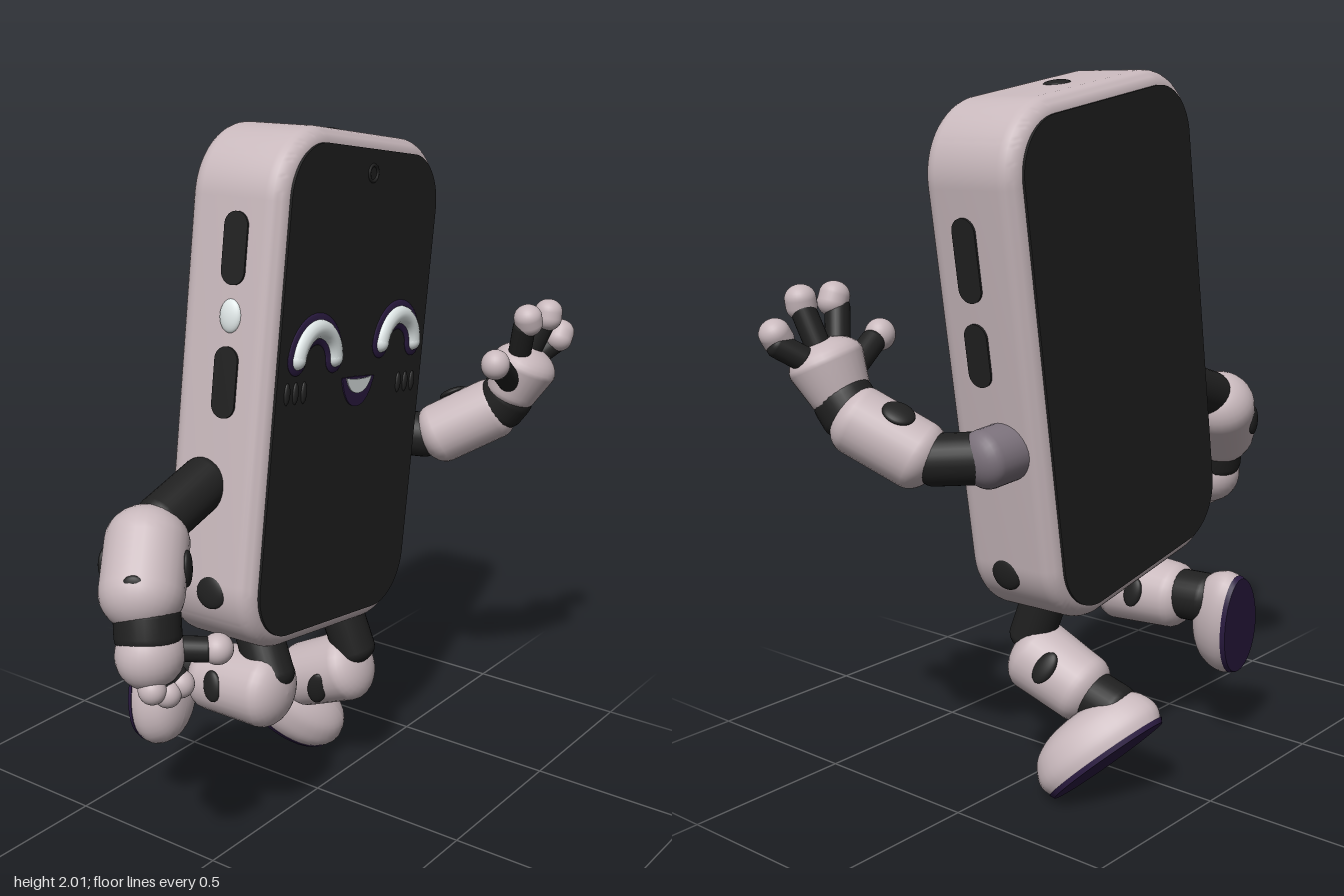
import * as THREE from 'three';
import { toCreasedNormals } from 'three/addons/utils/BufferGeometryUtils.js';

const flat = (name, color) => Object.assign(new THREE.MeshStandardMaterial({ color }), { name });
const V = (p) => new THREE.Vector3(...p);
const UP = new THREE.Vector3(0, 1, 0);

export function createModel() {
  const shell = flat('pale mauve shell', 0xc8b8bc);
  const dark = flat('charcoal', 0x202020);
  const purple = flat('deep purple', 0x2b1b42);
  const white = flat('glow white', 0xeaf2f2);
  const gray = flat('dusky mauve', 0x7b717b);

  const model = new THREE.Group();
  model.name = 'walkingPhone';

  function add(parent, name, geo, mat, pos = [0, 0, 0]) {
    const m = new THREE.Mesh(geo, mat);
    m.name = name;
    m.position.set(...pos);
    parent.add(m);
    return m;
  }

  function ball(parent, name, mat, pos, radii) {
    const m = add(parent, name, new THREE.SphereGeometry(1, 28, 18), mat, pos);
    m.scale.set(...radii);
    return m;
  }

  // Rounded limb from a to b; cap sets how far the ends bulge
  function limb(parent, name, mat, a, b, ra, rb = ra, cap = 0.7) {
    const A = V(a), B = V(b), len = A.distanceTo(B), pts = [];
    for (let i = 0; i <= 8; i++) {
      const t = (i / 8) * Math.PI / 2;
      pts.push(new THREE.Vector2(ra * Math.sin(t), -ra * cap * Math.cos(t)));
    }
    for (let i = 0; i <= 8; i++) {
      const t = (i / 8) * Math.PI / 2;
      pts.push(new THREE.Vector2(rb * Math.cos(t), len + rb * cap * Math.sin(t)));
    }
    const m = add(parent, name, new THREE.LatheGeometry(pts, 28), mat, a);
    m.quaternion.setFromUnitVectors(UP, B.sub(A).normalize());
    return m;
  }

  // Flattened oval inset lying on a limb
  function pad(parent, center, normal, dist, w, h) {
    const n = V(normal).normalize();
    const m = ball(parent, 'limbInset', dark, V(center).addScaledVector(n, dist).toArray(), [w, h, 0.014]);
    m.quaternion.setFromUnitVectors(new THREE.Vector3(0, 0, 1), n);
  }

  function roundRect(hw, hh, r) {
    const s = new THREE.Shape();
    s.absarc(hw - r, hh - r, r, 0, Math.PI / 2);
    s.absarc(r - hw, hh - r, r, Math.PI / 2, Math.PI);
    s.absarc(r - hw, r - hh, r, Math.PI, Math.PI * 1.5);
    s.absarc(hw - r, r - hh, r, Math.PI * 1.5, Math.PI * 2);
    return s;
  }

  const plate = (hw, hh, r, depth = 0.009) => toCreasedNormals(
    new THREE.ExtrudeGeometry(roundRect(hw, hh, r), { depth, bevelEnabled: false, curveSegments: 14 }), 0.7);

  // Body, leaning and slightly turned
  const body = new THREE.Group();
  body.name = 'body';
  body.position.set(0.04, 1.27, -0.07);
  body.rotation.set(0, 0.05, -0.157);
  model.add(body);

  const bevel = 0.05;
  const caseGeo = new THREE.ExtrudeGeometry(roundRect(0.42, 0.71, 0.2), {
    depth: 0.3 - 2 * bevel, bevelThickness: bevel, bevelSize: bevel, bevelOffset: -bevel,
    bevelSegments: 7, curveSegments: 16,
  });
  caseGeo.translate(0, 0, bevel - 0.15);
  add(body, 'case', toCreasedNormals(caseGeo, 0.9), shell);
  add(body, 'screen', plate(0.378, 0.668, 0.15), dark, [0, 0, 0.147]);
  add(body, 'backPanel', plate(0.378, 0.668, 0.15), dark, [0, 0, -0.156]);
  add(body, 'cameraRing', new THREE.TorusGeometry(0.022, 0.005, 8, 24), dark, [0.006, 0.603, 0.156]);

  // Smiling eyes and cheek marks
  for (const s of [-1, 1]) {
    const eye = new THREE.Group();
    eye.name = s < 0 ? 'rightEye' : 'leftEye';
    eye.position.set(0.005 + s * 0.212, 0.105 + s * 0.015, 0.158);
    body.add(eye);
    for (const [name, mat, tube, depth] of [['eyeRim', purple, 0.043, 0.15], ['eyeArc', white, 0.027, 0.9]]) {
      const arc = Math.PI * 0.92, start = (Math.PI - arc) / 2;
      const geo = new THREE.TorusGeometry(0.092, tube, 14, 32, arc);
      geo.rotateZ(start);
      add(eye, name, geo, mat).scale.z = depth;
      for (const a of [start, start + arc]) {
        ball(eye, name + 'End', mat, [0.092 * Math.cos(a), 0.092 * Math.sin(a), 0], [tube, tube, tube * depth]);
      }
    }
    for (let i = -1; i <= 1; i++) {
      ball(body, 'cheekMark', dark, [s * 0.29 + i * 0.04, 0.012, 0.156], [0.012, 0.03, 0.008]);
    }
  }

  // Mouth: bright upper teeth over a dark lip
  function smile(w, top, drop) {
    const s = new THREE.Shape();
    s.moveTo(-w, 0.015);
    s.quadraticCurveTo(0, top, w, 0.015);
    s.quadraticCurveTo(w * 0.7, -drop, 0, -drop);
    s.quadraticCurveTo(-w * 0.7, -drop, -w, 0.015);
    return new THREE.ExtrudeGeometry(s, { depth: 0.006, bevelEnabled: false });
  }
  add(body, 'mouth', smile(0.085, 0.02, 0.068), purple, [0.02, 0.025, 0.154]);
  add(body, 'teeth', smile(0.066, 0.005, 0.03), white, [0.02, 0.025, 0.157]);

  // Side buttons, screws and ports
  function sidePlate(name, mat, s, y, hw, hh) {
    add(body, name, plate(hw, hh, hw * 0.98), mat, [s * 0.417, y, 0.02]).rotation.y = s * Math.PI / 2;
  }
  sidePlate('upperButton', dark, 1, 0.33, 0.037, 0.11);
  sidePlate('lowerButton', dark, 1, 0.08, 0.037, 0.085);
  sidePlate('upperSlot', dark, -1, 0.38, 0.037, 0.095);
  sidePlate('lowerSlot', dark, -1, 0.03, 0.037, 0.095);
  ball(body, 'sideLight', white, [-0.418, 0.205, 0.02], [0.016, 0.045, 0.034]);
  for (const s of [-1, 1]) {
    ball(body, 'sideScrew', dark, [s * 0.412, -0.54, 0.02], [0.016, 0.048, 0.048]);
  }
  ball(body, 'topPort', dark, [0, 0.71, 0.005], [0.037, 0.008, 0.037]);
  ball(body, 'bottomPort', dark, [0.01, -0.71, 0.005], [0.04, 0.008, 0.026]);

  // Right arm, hanging with a curled hand
  const rightArm = new THREE.Group();
  rightArm.name = 'rightArm';
  model.add(rightArm);
  limb(rightArm, 'upperArm', dark, [-0.4, 1.09, -0.08], [-0.58, 1.03, -0.08], 0.072);
  limb(rightArm, 'forearm', shell, [-0.635, 0.985, -0.08], [-0.715, 0.885, -0.03], 0.112, 0.112, 0.9);
  pad(rightArm, [-0.675, 0.935, -0.055], [0.55, 0, 0.8], 0.11, 0.035, 0.05);
  pad(rightArm, [-0.69, 0.93, -0.05], [-0.8, 0, 0.5], 0.111, 0.035, 0.035);
  pad(rightArm, [-0.675, 0.935, -0.055], [-0.3, 0, -0.9], 0.11, 0.035, 0.045);
  limb(rightArm, 'wrist', dark, [-0.72, 0.83, -0.01], [-0.73, 0.78, 0], 0.088);
  ball(rightArm, 'hand', shell, [-0.735, 0.735, 0.01], [0.096, 0.095, 0.088]);
  for (const [x, y, z] of [[-0.77, 0.655, 0.045], [-0.73, 0.635, 0.06], [-0.69, 0.65, 0.07]]) {
    limb(rightArm, 'fingerJoint', dark, [-0.735, 0.69, 0.03], [x, y + 0.015, z - 0.01], 0.033);
    ball(rightArm, 'fingertip', shell, [x, y, z], [0.036, 0.038, 0.038]);
  }
  limb(rightArm, 'thumbJoint', dark, [-0.68, 0.74, 0.05], [-0.63, 0.735, 0.11], 0.034);
  ball(rightArm, 'thumbTip', shell, [-0.61, 0.735, 0.13], [0.042, 0.042, 0.042]);

  // Left arm, raised and waving
  const leftArm = new THREE.Group();
  leftArm.name = 'leftArm';
  model.add(leftArm);
  limb(leftArm, 'shoulder', gray, [0.41, 1.03, -0.12], [0.49, 1.02, -0.11], 0.08);
  limb(leftArm, 'upperArm', dark, [0.48, 1.02, -0.1], [0.55, 1.01, 0.02], 0.07);
  limb(leftArm, 'forearm', shell, [0.565, 1.02, 0.06], [0.64, 1.105, 0.2], 0.095);
  pad(leftArm, [0.6, 1.06, 0.12], [0.2, 0.8, -0.5], 0.094, 0.04, 0.045);
  limb(leftArm, 'wrist', dark, [0.64, 1.12, 0.225], [0.645, 1.155, 0.25], 0.083);
  limb(leftArm, 'palm', shell, [0.645, 1.175, 0.265], [0.66, 1.25, 0.295], 0.088, 0.108, 0.6).scale.z = 0.9;
  for (const [x, y, z] of [[0.585, 1.42, 0.34], [0.695, 1.42, 0.35], [0.79, 1.34, 0.345]]) {
    const root = [0.66 + (x - 0.66) * 0.6, 1.25 + (y - 1.25) * 0.25, 0.3];
    limb(leftArm, 'fingerJoint', dark, root, [x, y - 0.03, z - 0.01], 0.034);
    limb(leftArm, 'fingertip', shell, [x - (x - 0.66) * 0.1, y - 0.02, z], [x, y, z], 0.042, 0.042, 0.9);
  }
  limb(leftArm, 'thumbJoint', dark, [0.58, 1.22, 0.29], [0.48, 1.285, 0.31], 0.035);
  ball(leftArm, 'thumbTip', shell, [0.447, 1.3, 0.315], [0.043, 0.045, 0.043]);

  // Shoe: domed upper on a flat sole, placed by toe and up directions
  function foot(parent, center, toe, up, w, h, l) {
    const g = new THREE.Group();
    g.name = 'foot';
    const y = V(up).normalize(), x = y.clone().cross(V(toe)).normalize();
    g.quaternion.setFromRotationMatrix(new THREE.Matrix4().makeBasis(x, y, x.clone().cross(y)));
    g.position.set(...center);
    parent.add(g);
    const profile = [[0, 0], [0.94, 0], [1, 0.2], [0.98, 0.42], [0.86, 0.7], [0.62, 0.9], [0.3, 1], [0, 1.02]];
    const curve = new THREE.SplineCurve(profile.slice(1).map((p) => new THREE.Vector2(...p)));
    const upper = new THREE.LatheGeometry([new THREE.Vector2(0, 0), ...curve.getPoints(20)], 36);
    const sole = new THREE.CylinderGeometry(0.97, 0.93, 0.014, 36);
    for (const geo of [upper, sole]) {
      const p = geo.attributes.position;
      for (let i = 0; i < p.count; i++) p.setX(i, p.getX(i) * (1 + 0.1 * p.getZ(i)));
      geo.scale(w, geo === upper ? h : 1, l);
      geo.computeVertexNormals();
    }
    add(g, 'shoe', upper, shell);
    add(g, 'sole', toCreasedNormals(sole, 0.6), purple, [0, -0.003, 0]);
  }

  // Right leg, kicked straight back
  const rightLeg = new THREE.Group();
  rightLeg.name = 'rightLeg';
  model.add(rightLeg);
  limb(rightLeg, 'thigh', dark, [-0.25, 0.63, -0.03], [-0.275, 0.5, 0.04], 0.068);
  limb(rightLeg, 'shin', shell, [-0.285, 0.465, 0.03], [-0.3, 0.46, -0.15], 0.112, 0.1, 0.65);
  pad(rightLeg, [-0.29, 0.46, -0.08], [1, 0.2, 0], 0.104, 0.03, 0.045);
  pad(rightLeg, [-0.29, 0.46, -0.08], [-1, 0.2, 0], 0.104, 0.03, 0.045);
  limb(rightLeg, 'ankle', dark, [-0.3, 0.47, -0.18], [-0.31, 0.47, -0.26], 0.075);
  foot(rightLeg, [-0.35, 0.395, -0.35], [-0.28, -0.95, 0.1], [0.1, 0.1, 1], 0.105, 0.13, 0.172);

  // Left leg, bent with the toe pointing down
  const leftLeg = new THREE.Group();
  leftLeg.name = 'leftLeg';
  model.add(leftLeg);
  limb(leftLeg, 'thigh', dark, [0.145, 0.6, -0.04], [0.16, 0.42, 0.02], 0.066);
  limb(leftLeg, 'shin', shell, [0.155, 0.36, 0], [0.14, 0.295, -0.15], 0.108, 0.1, 0.65);
  pad(leftLeg, [0.147, 0.33, -0.08], [0.9, 0.4, -0.15], 0.103, 0.03, 0.05);
  pad(leftLeg, [0.147, 0.33, -0.08], [-0.85, -0.2, 0.35], 0.103, 0.03, 0.055);
  limb(leftLeg, 'ankle', dark, [0.135, 0.28, -0.18], [0.13, 0.255, -0.26], 0.075);
  foot(leftLeg, [0.18, 0.13, -0.27], [0.51, -0.61, 0.61], [0, 0.7, 0.7], 0.115, 0.145, 0.2);

  return model;
}
